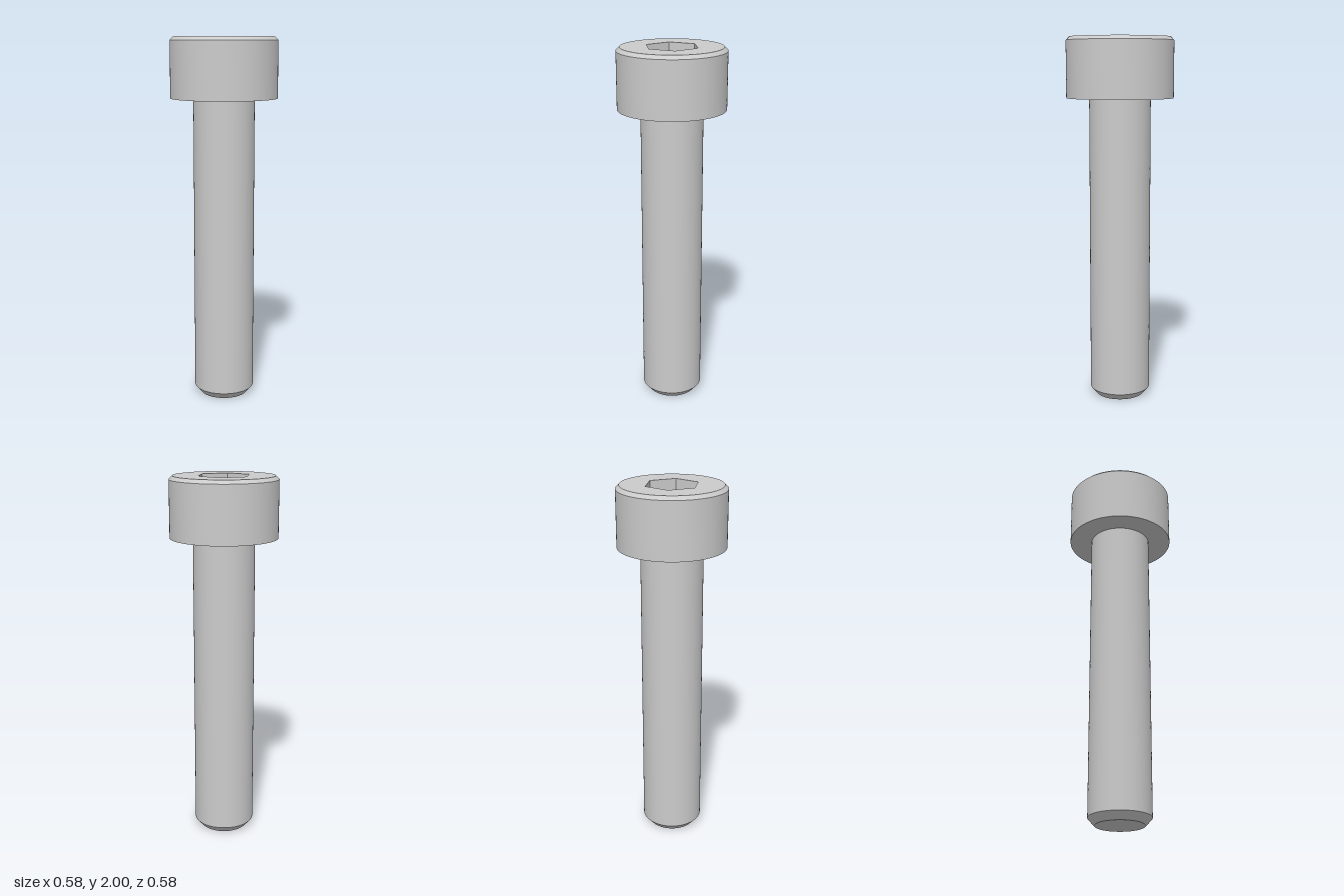
import * as THREE from 'three';
import { toCreasedNormals } from 'three/addons/utils/BufferGeometryUtils.js';

const SEGMENTS = 96;
const HEAD_BOTTOM = 1.674, TOP = 2;
const HEAD_R = 0.291, RIM_R = 0.272, SHANK_R = 0.167;
const HEX_R = 0.146, SOCKET_DEPTH = 0.17;

export function createModel() {
  const group = new THREE.Group();
  const material = new THREE.MeshStandardMaterial({ color: 0xcccccc });

  const add = (name, geometry, y = 0) => {
    const mesh = new THREE.Mesh(geometry, material);
    mesh.name = name;
    mesh.position.y = y;
    group.add(mesh);
  };
  // Revolved profile, listed from bottom to top, with sharp edges kept
  const turned = (points) => toCreasedNormals(
    new THREE.LatheGeometry(points.map(([r, y]) => new THREE.Vector2(r, y)), SEGMENTS), Math.PI / 6);

  // Shank with chamfered tip
  add('shank', turned([[0, 0], [0.132, 0], [SHANK_R, 0.04], [SHANK_R, HEAD_BOTTOM]]));

  // Head: underside, side wall and chamfered rim
  add('head', turned([[SHANK_R, HEAD_BOTTOM], [HEAD_R, HEAD_BOTTOM], [HEAD_R, TOP - 0.019], [RIM_R, TOP]]));

  // Flat top face with the hexagonal opening
  const face = new THREE.Shape().absarc(0, 0, RIM_R, 0, Math.PI * 2);
  const corners = Array.from({ length: 6 }, (_, i) => {
    const a = Math.PI / 2 + i * Math.PI / 3;
    return new THREE.Vector2(HEX_R * Math.cos(a), HEX_R * Math.sin(a));
  });
  face.holes.push(new THREE.Path(corners));
  add('headTop', new THREE.ShapeGeometry(face, SEGMENTS).rotateX(-Math.PI / 2), TOP);

  // Socket walls, mirrored so that they face inward
  const walls = new THREE.CylinderGeometry(HEX_R, HEX_R, SOCKET_DEPTH, 6, 1, true).toNonIndexed();
  walls.scale(-1, 1, 1);
  walls.computeVertexNormals();
  add('socketWalls', walls, TOP - SOCKET_DEPTH / 2);

  // Socket floor
  add('socketFloor', new THREE.CircleGeometry(HEX_R, 6, Math.PI / 6).rotateX(-Math.PI / 2), TOP - SOCKET_DEPTH);

  return group;
}
